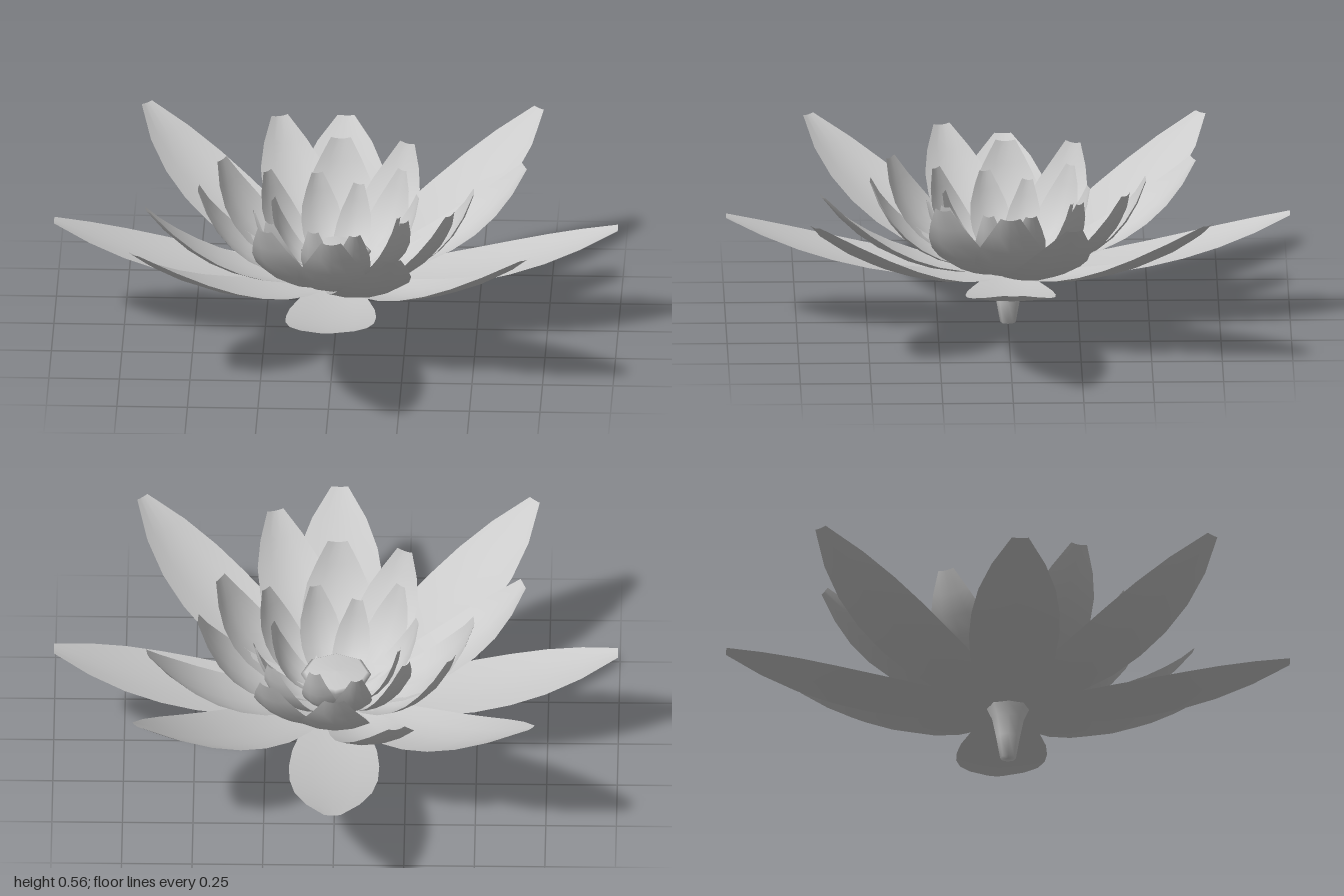
import * as THREE from 'three';

const ROWS = 8, COLS = 4;

// One cupped petal along +z: [radius, height] mid-rib curve, half-width profile, raised edges.
function petalGeometry({ base, bend, tip, width, tipWidth, cup }) {
  const rib = new THREE.QuadraticBezierCurve(
    new THREE.Vector2(...base), new THREE.Vector2(...bend), new THREE.Vector2(...tip));
  const profile = [0.3, 0.55, 0.78, 0.94, 1, 0.98, 0.86, 0.6, tipWidth / width];
  const positions = [], indices = [];
  for (let i = 0; i <= ROWS; i++) {
    const p = rib.getPoint(i / ROWS);
    const half = width * profile[i];
    for (let j = 0; j <= COLS; j++) {
      const s = (j / COLS) * 2 - 1;
      const lift = cup * s * s * profile[i];
      positions.push(s * half, p.y + lift, p.x - lift * 0.5);
    }
  }
  for (let i = 0; i < ROWS; i++) {
    for (let j = 0; j < COLS; j++) {
      const a = i * (COLS + 1) + j, b = a + COLS + 1;
      indices.push(a, b, a + 1, a + 1, b, b + 1);
    }
  }
  const geometry = new THREE.BufferGeometry();
  geometry.setAttribute('position', new THREE.Float32BufferAttribute(positions, 3));
  geometry.setIndex(indices);
  geometry.computeVertexNormals();
  return geometry;
}

// Each whorl holds four petals, a quarter turn apart, starting at `angle` degrees from the front.
const WHORLS = [
  { name: 'outerPetal', angle: 0, base: [0, 0.19], bend: [0.5, 0.18], tip: [1, 0.395], width: 0.16, tipWidth: 0.03, cup: 0.012 },
  { name: 'outerDiagonalPetal', angle: 45, base: [0, 0.195], bend: [0.52, 0.18], tip: [0.985, 0.56], width: 0.155, tipWidth: 0.025, cup: 0.02 },
  { name: 'middlePetal', angle: 18.7, base: [0, 0.2], bend: [0.46, 0.19], tip: [0.7, 0.53], width: 0.13, tipWidth: 0.03, cup: 0.025 },
  { name: 'innerPetal', angle: 0, base: [0, 0.205], bend: [0.39, 0.19], tip: [0.49, 0.52], width: 0.125, tipWidth: 0.035, cup: 0.025 },
  { name: 'innerTurnedPetal', angle: -30, base: [0, 0.205], bend: [0.38, 0.19], tip: [0.48, 0.535], width: 0.115, tipWidth: 0.03, cup: 0.025 },
  { name: 'heartDiagonalPetal', angle: 48, base: [0.02, 0.21], bend: [0.29, 0.2], tip: [0.34, 0.5], width: 0.085, tipWidth: 0.02, cup: 0.02 },
  { name: 'heartPetal', angle: 15, base: [0.02, 0.21], bend: [0.25, 0.2], tip: [0.3, 0.47], width: 0.075, tipWidth: 0.02, cup: 0.02 },
  { name: 'heartTurnedPetal', angle: -18, base: [0.02, 0.21], bend: [0.21, 0.2], tip: [0.24, 0.455], width: 0.065, tipWidth: 0.02, cup: 0.02 },
];

export function createModel() {
  const model = new THREE.Group();
  model.name = 'waterLily';
  const material = new THREE.MeshStandardMaterial({ color: 0xcccccc });
  const petalMaterial = new THREE.MeshStandardMaterial({ color: 0xcccccc, side: THREE.DoubleSide });

  for (const whorl of WHORLS) {
    const group = new THREE.Group();
    group.name = whorl.name + 's';
    const geometry = petalGeometry(whorl);
    for (let k = 0; k < 4; k++) {
      const petal = new THREE.Mesh(geometry, petalMaterial);
      petal.name = whorl.name;
      petal.rotation.y = THREE.MathUtils.degToRad(whorl.angle + k * 90);
      group.add(petal);
    }
    model.add(group);
  }

  // Eight-sided stem and seed pod
  const lathe = (name, points) => {
    const geometry = new THREE.LatheGeometry(points.map(([r, y]) => new THREE.Vector2(r, y)), 8);
    const mesh = new THREE.Mesh(geometry, material);
    mesh.name = name;
    model.add(mesh);
  };
  lathe('stem', [[0, 0], [0.028, 0], [0.042, 0.08], [0.056, 0.15], [0.075, 0.19], [0.075, 0.2]]);
  lathe('seedPod', [[0.07, 0.195], [0.09, 0.23], [0.125, 0.295], [0.11, 0.305], [0, 0.31]]);

  return model;
}
